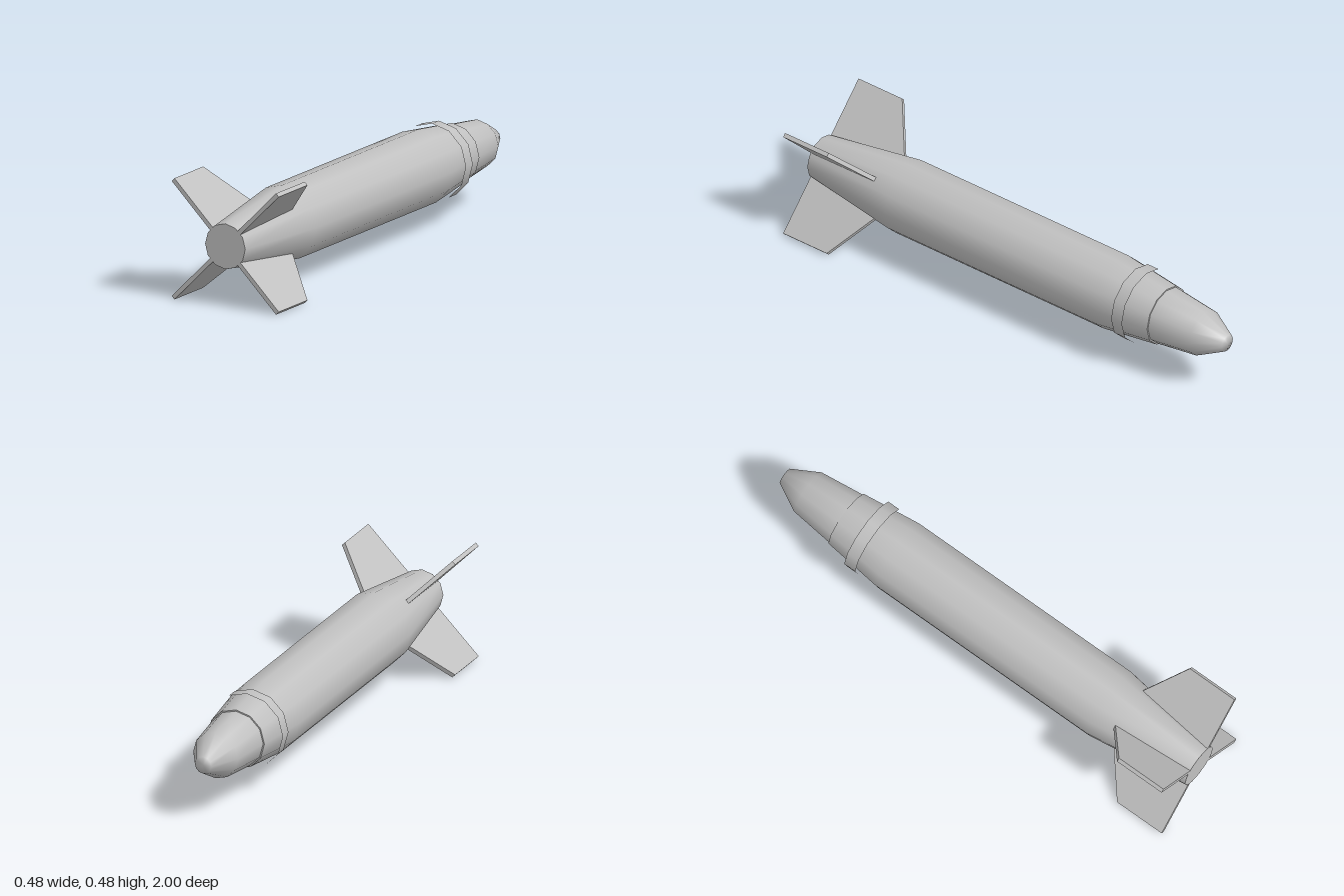
import * as THREE from 'three';

const SIDES = 12;
const AXIS_Y = 0.2425;

export function createModel() {
  const model = new THREE.Group();
  const grey = new THREE.MeshStandardMaterial({ color: 0xc0c0c0 });
  grey.name = 'casing grey';

  const add = (name, geometry) => {
    const mesh = new THREE.Mesh(geometry, grey);
    mesh.name = name;
    mesh.position.y = AXIS_Y;
    model.add(mesh);
  };

  // Turned part along z from [radius, z] pairs, listed from tail to nose
  const turned = (profile) =>
    new THREE.LatheGeometry(profile.map(([r, z]) => new THREE.Vector2(r, -z)), SIDES)
      .rotateX(-Math.PI / 2);

  // Smooth twelve-sided casing, tapering at both ends
  add('body', turned([[0.091, 1], [0.152, 0.57], [0.152, -0.45], [0.122, -0.7]]));
  add('bodyLip', turned([[0.122, -0.7], [0.1, -0.7]]));

  // Flat tail disc, turned so its corners meet the casing
  add('tailCap', new THREE.CircleGeometry(0.091, SIDES).translate(0, 0, 1));

  // Nose with a small blunt tip
  add('nose', turned([[0.117, -0.69], [0.116, -0.71], [0.096, -0.885], [0.035, -1], [0, -1]]));

  // Thin open band standing clear of the front taper
  add('band', turned([[0.153, -0.547], [0.153, -0.6]]));

  // Four diagonal tail fins with swept leading edges
  const thickness = 0.0175;
  const outline = new THREE.Shape(
    [[0.084, 1], [0.334, 1], [0.334, 0.785], [0.13, 0.66]].map(([r, z]) => new THREE.Vector2(r, z))
  );
  const fin = new THREE.ExtrudeGeometry(outline, { depth: thickness, bevelEnabled: false })
    .translate(0, 0, -thickness / 2)
    .rotateX(Math.PI / 2);
  ['upperLeftFin', 'upperRightFin', 'lowerRightFin', 'lowerLeftFin'].forEach((name, i) => {
    add(name, fin.clone().rotateZ(Math.PI / 4 + (i * Math.PI) / 2));
  });

  return model;
}
